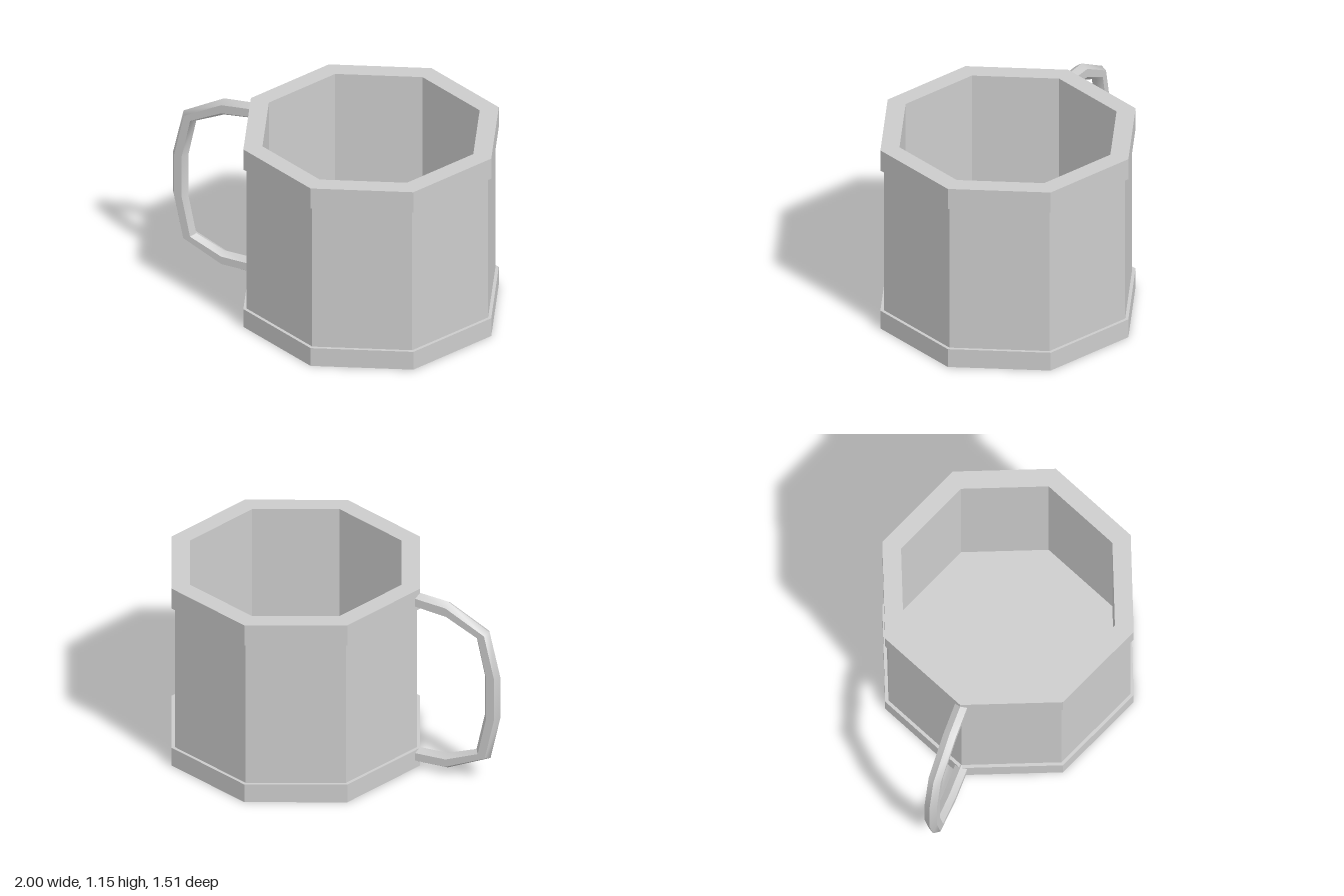
import * as THREE from 'three';
import { toCreasedNormals } from 'three/addons/utils/BufferGeometryUtils.js';

export function createModel() {
  const mug = new THREE.Group();
  mug.name = 'mug';

  // Eight-sided cup: base band, wall, rim band, then down the inside to the floor
  const profile = [
    [0, 0], [0.755, 0], [0.755, 0.115], [0.735, 0.115], [0.735, 1.02],
    [0.755, 1.02], [0.755, 1.15], [0.642, 1.15], [0.642, 0.11], [0, 0.11],
  ].map(([r, y]) => new THREE.Vector2(r, y));
  const cup = new THREE.Mesh(
    new THREE.LatheGeometry(profile, 8),
    new THREE.MeshStandardMaterial({ color: 0xcccccc, flatShading: true }),
  );
  cup.name = 'cup';
  cup.position.x = 0.243;
  mug.add(cup);

  // Handle: hexagonal sections, each spanning an outer and an inner point
  const sections = [
    [-0.495, 1.125, -0.495, 1.025],
    [-0.68, 1.105, -0.68, 1.0],
    [-0.935, 0.96, -0.855, 0.915],
    [-1, 0.68, -0.905, 0.68],
    [-1, 0.42, -0.905, 0.42],
    [-0.94, 0.145, -0.855, 0.185],
    [-0.68, 0.025, -0.68, 0.12],
    [-0.495, 0.025, -0.495, 0.12],
  ];
  const sides = 6;
  const positions = [];
  const index = [];
  sections.forEach(([ox, oy, ix, iy], s) => {
    for (let k = 0; k < sides; k++) {
      const a = (k / sides) * Math.PI * 2;
      const t = (1 - Math.cos(a)) / 2;
      positions.push(ox + (ix - ox) * t, oy + (iy - oy) * t, 0.042 * Math.sin(a));
      if (s === sections.length - 1) continue;
      const p = s * sides + k;
      const q = s * sides + ((k + 1) % sides);
      index.push(p, p + sides, q, q, p + sides, q + sides);
    }
  });
  const handleGeometry = new THREE.BufferGeometry();
  handleGeometry.setAttribute('position', new THREE.Float32BufferAttribute(positions, 3));
  handleGeometry.setIndex(index);
  const handle = new THREE.Mesh(
    toCreasedNormals(handleGeometry, 0.8),
    new THREE.MeshStandardMaterial({ color: 0xcccccc, side: THREE.DoubleSide }),
  );
  handle.name = 'handle';
  mug.add(handle);

  return mug;
}
